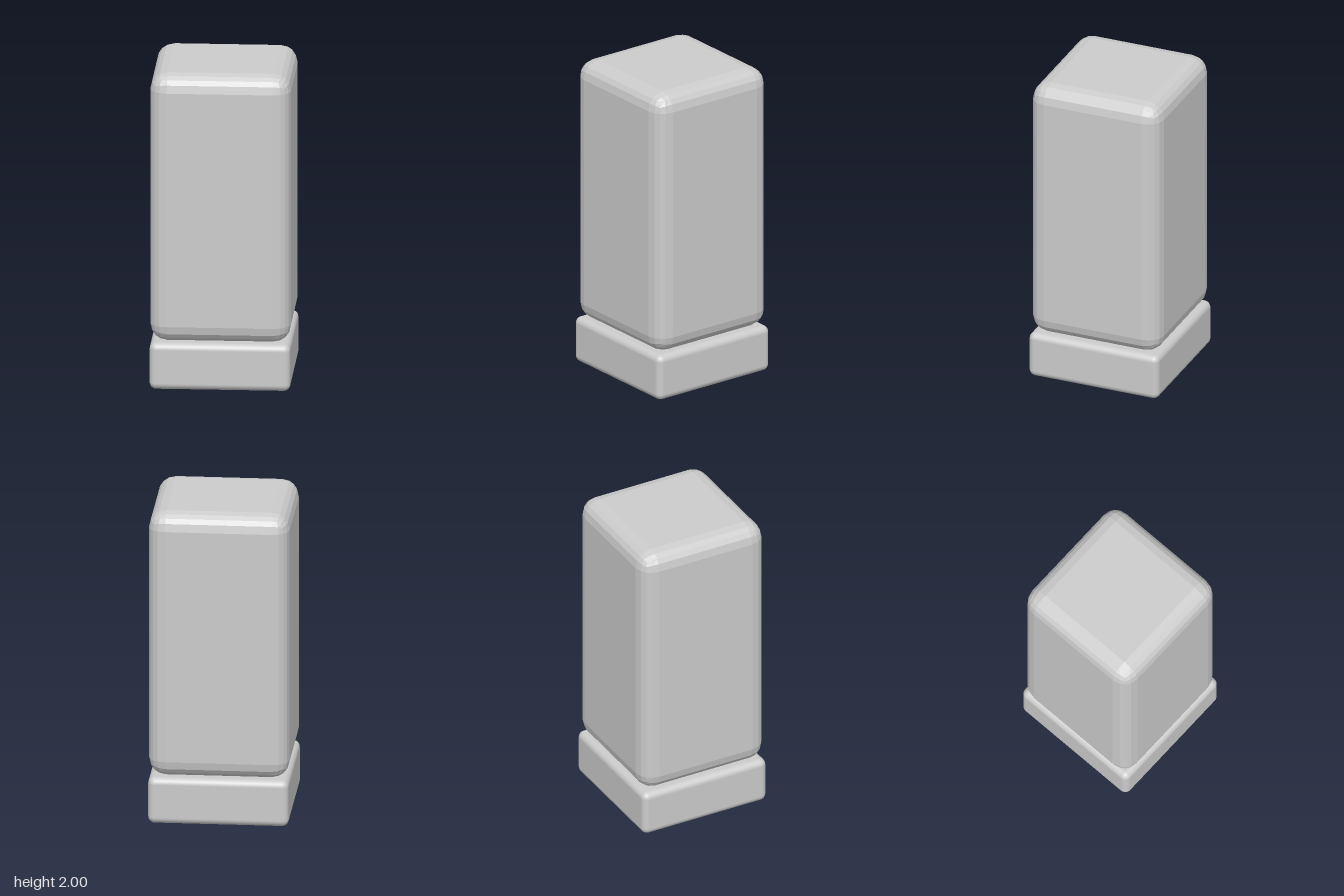
import * as THREE from 'three';
import { RoundedBoxGeometry } from 'three/addons/geometries/RoundedBoxGeometry.js';

const WIDTH = 0.866;

// Square rounded block standing between two heights
function block(name, bottom, top, segments, radius, flatShading) {
  const geometry = new RoundedBoxGeometry(WIDTH, top - bottom, WIDTH, segments, radius);
  const material = new THREE.MeshStandardMaterial({ color: 0xcccccc, flatShading });
  const mesh = new THREE.Mesh(geometry, material);
  mesh.name = name;
  mesh.position.y = (bottom + top) / 2;
  return mesh;
}

export function createModel() {
  const model = new THREE.Group();
  model.name = 'blockOnBase';
  // Smooth, tightly rounded base
  model.add(block('base', 0, 0.295, 4, 0.042, false));
  // Tall body with broad faceted edges
  model.add(block('body', 0.295, 2, 2, 0.108, true));
  return model;
}
